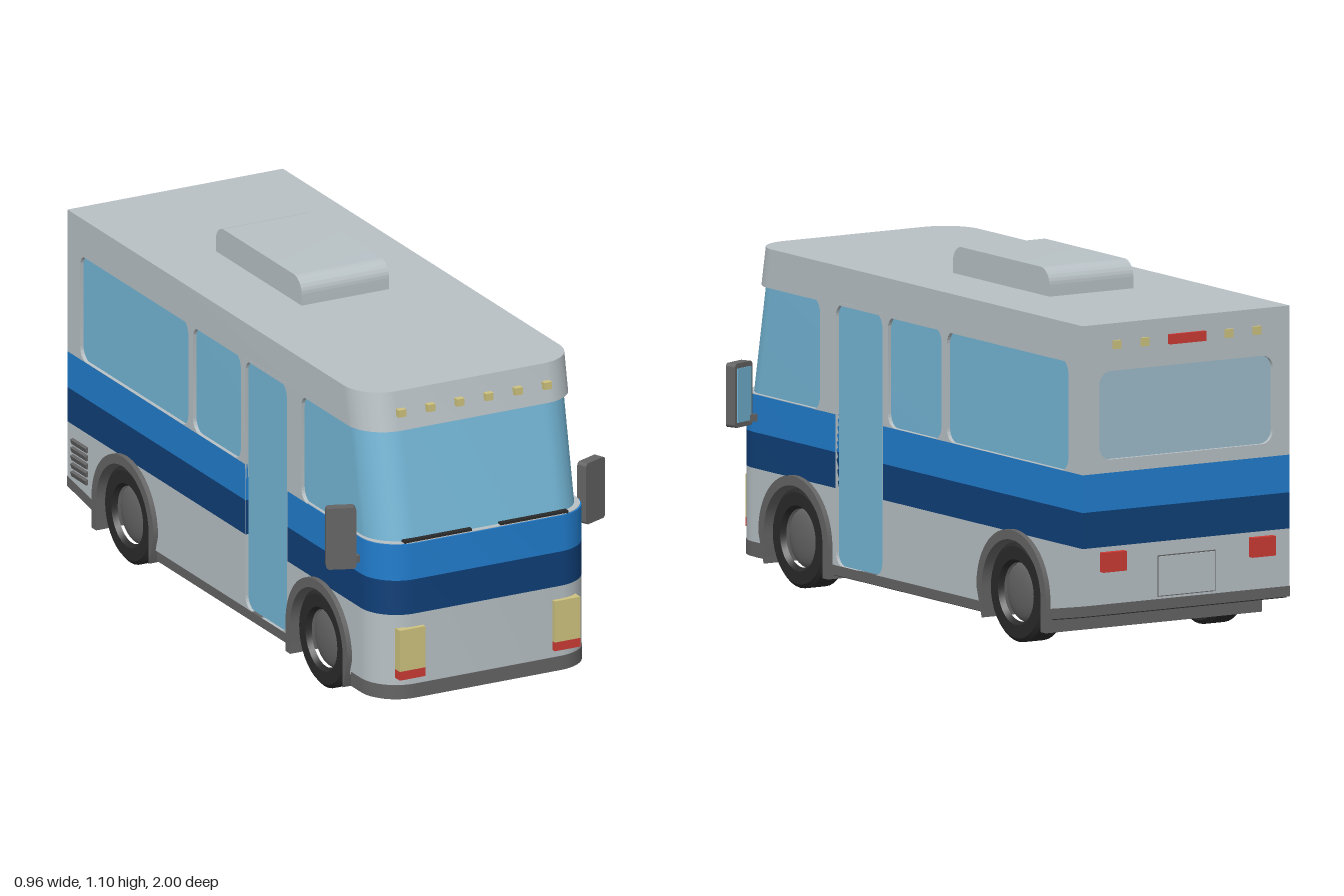
import * as THREE from 'three';
import { toCreasedNormals } from 'three/addons/utils/BufferGeometryUtils.js';

const paint = (name, color) => new THREE.MeshStandardMaterial({ name, color });

export function createModel() {
  const bus = new THREE.Group();
  bus.name = 'bus';
  const grey = paint('body grey', 0xb8c1c5), glass = paint('glass', 0x74b6d6);
  const rearGlass = paint('rear glass', 0x9cbccb), blue = paint('blue', 0x217dce);
  const navy = paint('navy', 0x0f3f78), trim = paint('trim grey', 0x646464);
  const black = paint('black', 0x2a2a2a), yellow = paint('lamp yellow', 0xcdc27e);
  const red = paint('lamp red', 0xcc3a34);

  const add = (name, geo, mat, x = 0, y = 0, z = 0) => {
    const m = new THREE.Mesh(geo, mat);
    m.name = name;
    m.position.set(x, y, z);
    bus.add(m);
    return m;
  };
  // box given by its limits
  const box = (name, mat, x0, x1, y0, y1, z0, z1) =>
    add(name, new THREE.BoxGeometry(x1 - x0, y1 - y0, z1 - z0), mat, (x0 + x1) / 2, (y0 + y1) / 2, (z0 + z1) / 2);

  // slab from a plan outline with round front corners; optional door notches and raked front
  const slab = (name, mat, hw, z0, z1, y0, y1, { notch = false, rake = 0 } = {}) => {
    const s = new THREE.Shape(), r = 0.12, n = 0.355;
    s.moveTo(-hw, -z0);
    if (notch) [[-hw, 0.14], [-n, 0.14], [-n, 0.4], [-hw, 0.4]].forEach(([x, z]) => s.lineTo(x, -z));
    s.lineTo(-hw, -z1 + r);
    s.absarc(-hw + r, -z1 + r, r, Math.PI, Math.PI * 1.5, false);
    s.absarc(hw - r, -z1 + r, r, Math.PI * 1.5, Math.PI * 2, false);
    if (notch) [[hw, 0.4], [n, 0.4], [n, 0.14], [hw, 0.14]].forEach(([x, z]) => s.lineTo(x, -z));
    s.lineTo(hw, -z0);
    s.closePath();
    const g = new THREE.ExtrudeGeometry(s, { depth: y1 - y0, bevelEnabled: false, curveSegments: 10 });
    g.rotateX(-Math.PI / 2);
    const p = g.attributes.position;
    for (let i = 0; i < p.count; i++) if (p.getZ(i) > 0) p.setZ(i, p.getZ(i) - rake * p.getY(i));
    return add(name, toCreasedNormals(g, 0.6), mat, 0, y0);
  };

  // side profile drawn in (z, y), extruded from x0 to x1
  const profile = (name, mat, shape, x0, x1) => {
    const g = new THREE.ExtrudeGeometry(shape, { depth: x1 - x0, bevelEnabled: false, curveSegments: 16 });
    g.rotateY(-Math.PI / 2);
    return add(name, toCreasedNormals(g, 0.6), mat, x1);
  };
  const poly = (pts) => new THREE.Shape(pts.map(([a, b]) => new THREE.Vector2(a, b)));
  const rounded = (a0, a1, b0, b1, r, path = new THREE.Path()) => {
    path.absarc(a1 - r, b0 + r, r, -Math.PI / 2, 0, false);
    path.absarc(a1 - r, b1 - r, r, 0, Math.PI / 2, false);
    path.absarc(a0 + r, b1 - r, r, Math.PI / 2, Math.PI, false);
    path.absarc(a0 + r, b0 + r, r, Math.PI, Math.PI * 1.5, false);
    path.closePath();
    return path;
  };
  const panel = (a0, a1, b0, b1, holes) => {
    const s = poly([[a0, b0], [a1, b0], [a1, b1], [a0, b1]]);
    s.holes = holes.map((h) => rounded(...h, 0.04));
    return s;
  };

  // lower body with wheel arches
  const axles = [0.615, -0.605];
  const archCut = (s, z, r, y) => {
    s.lineTo(z - r, y);
    s.lineTo(z - r, 0.15);
    s.absarc(z, 0.15, r, Math.PI, 0, true);
    s.lineTo(z + r, y);
  };
  const rear = new THREE.Shape();
  rear.moveTo(-0.98, 0.155);
  archCut(rear, axles[1], 0.18, 0.1);
  rear.lineTo(0.14, 0.1);
  rear.lineTo(0.14, 0.335);
  rear.lineTo(-0.98, 0.335);
  profile('rearLowerBody', grey, rear, -0.37, 0.37);
  const front = new THREE.Shape();
  front.moveTo(0.4, 0.1);
  archCut(front, axles[0], 0.18, 0.1);
  front.lineTo(0.82, 0.1);
  front.lineTo(0.82, 0.335);
  front.lineTo(0.4, 0.335);
  profile('frontLowerBody', grey, front, -0.37, 0.37);
  box('doorSillBody', grey, -0.355, 0.355, 0.1, 0.335, 0.14, 0.4);
  slab('nose', grey, 0.37, 0.815, 0.985, 0.11, 0.335);

  // painted bands and windscreen ledge
  slab('navyBand', navy, 0.37, -0.98, 0.985, 0.335, 0.445, { notch: true });
  slab('blueBand', blue, 0.37, -0.98, 0.985, 0.445, 0.56, { notch: true });
  slab('windscreenLedge', grey, 0.368, 0.42, 0.98, 0.56, 0.562);

  // glass cabin and roof
  slab('cabinGlass', glass, 0.358, -0.965, 0.962, 0.56, 0.9, { rake: 0.2 });
  slab('roof', grey, 0.37, -0.98, 0.902, 0.895, 1.015, { rake: 0.2 });

  // side walls, door frames and cab pillars
  const pillar = new THREE.Shape();
  pillar.moveTo(0.403, 0.56);
  pillar.lineTo(0.53, 0.56);
  pillar.absarc(0.53, 0.6, 0.04, -Math.PI / 2, -Math.PI, true);
  pillar.absarc(0.53, 0.86, 0.04, Math.PI, Math.PI / 2, true);
  pillar.lineTo(0.403, 0.9);
  for (const side of [1, -1]) {
    const wall = (name, mat, shape, a, b) => profile(name, mat, shape, Math.min(a * side, b * side), Math.max(a * side, b * side));
    wall('sideWall', grey, panel(-0.98, 0.137, 0.56, 0.905, [[-0.9, -0.22, 0.561, 0.9], [-0.19, 0.11, 0.561, 0.9]]), 0.35, 0.37);
    wall('doorFrame', grey, panel(0.137, 0.403, 0.097, 0.905, [[0.14, 0.4, 0.1, 0.9]]), 0.35, 0.3705);
    wall('cabPillar', grey, pillar, 0.35, 0.37);
    box('door', glass, side * 0.357 - 0.003, side * 0.357 + 0.003, 0.1, 0.9, 0.139, 0.401);
  }

  // rear wall and window
  const rearWall = new THREE.ExtrudeGeometry(panel(-0.37, 0.37, 0.56, 0.9, [[-0.31, 0.31, 0.6, 0.87]]), { depth: 0.02, bevelEnabled: false });
  add('rearWall', rearWall, grey, 0, 0, -0.98);
  box('rearWindow', rearGlass, -0.32, 0.32, 0.59, 0.88, -0.968, -0.962);

  // skirt trim and dark floor
  slab('frontSkirt', trim, 0.371, 0.805, 0.987, 0.065, 0.11);
  slab('frontFloor', black, 0.362, 0.805, 0.978, 0.062, 0.066);
  box('middleSkirt', trim, -0.371, 0.371, 0.07, 0.1, -0.415, 0.425);
  box('middleFloor', black, -0.362, 0.362, 0.066, 0.071, -0.413, 0.423);
  profile('rearSkirt', trim, poly([[-0.982, 0.128], [-0.785, 0.094], [-0.785, 0.126], [-0.982, 0.16]]), -0.371, 0.371);
  profile('rearFloor', black, poly([[-0.975, 0.124], [-0.79, 0.092], [-0.79, 0.1], [-0.975, 0.132]]), -0.362, 0.362);

  // wheel arches, axles and wheels
  const tyreProfile = [[0.09, -0.046], [0.14, -0.046], [0.152, -0.036], [0.152, 0.036], [0.14, 0.046], [0.1, 0.046], [0.09, 0.03]]
    .map(([r, h]) => new THREE.Vector2(r, h));
  for (const z of axles) {
    const arch = new THREE.Shape();
    arch.moveTo(z + 0.195, 0.055);
    arch.absarc(z, 0.15, 0.195, 0, Math.PI, false);
    arch.lineTo(z - 0.195, 0.055);
    archCut(arch, z, 0.165, 0.055);
    arch.closePath();
    profile('wheelArch', trim, arch, -0.386, 0.386);
    add('axle', new THREE.CylinderGeometry(0.035, 0.035, 0.6, 16).rotateZ(Math.PI / 2), black, 0, 0.153, z);
    for (const side of [1, -1]) {
      const tyre = toCreasedNormals(new THREE.LatheGeometry(tyreProfile, 36), 0.6).rotateZ(-side * Math.PI / 2);
      add('tyre', tyre, black, side * 0.323, 0.153, z);
      add('innerWheel', new THREE.CylinderGeometry(0.092, 0.092, 0.06, 28).rotateZ(Math.PI / 2), black, side * 0.308, 0.153, z);
      add('hub', new THREE.SphereGeometry(0.09, 28, 14).scale(0.25, 1, 1), trim, side * 0.338, 0.153, z);
    }
  }

  // roof unit
  const unit = new THREE.Shape();
  unit.moveTo(-0.45, 1.01);
  unit.lineTo(0.09, 1.01);
  unit.absarc(0.04, 1.05, 0.05, 0, Math.PI / 2, false);
  unit.absarc(-0.4, 1.05, 0.05, Math.PI / 2, Math.PI, false);
  unit.closePath();
  profile('roofUnit', grey, unit, -0.15, 0.15);

  // front and rear lamps, wipers and mirrors
  for (const s of [1, -1]) {
    const c = s * 0.266;
    box('headlight', yellow, c - 0.044, c + 0.044, 0.162, 0.294, 0.95, 1);
    box('indicator', red, c - 0.044, c + 0.044, 0.134, 0.162, 0.95, 1);
    box('tailLight', red, c - 0.042, c + 0.042, 0.26, 0.32, -1, -0.97);
    box('wiper', black, s * 0.165 - 0.116, s * 0.165 + 0.116, 0.56, 0.569, 0.958, 0.977);
    for (const x of [0.05, 0.15, 0.25]) box('roofLamp', yellow, s * x - 0.013, s * x + 0.013, 0.94, 0.963, 0.87, 0.907);
    for (const x of [0.15, 0.25]) box('rearRoofLamp', yellow, s * x - 0.013, s * x + 0.013, 0.937, 0.963, -0.99, -0.97);

    box('mirrorArm', trim, s * 0.39 - 0.035, s * 0.39 + 0.035, 0.48, 0.502, 0.84, 0.86);
    const outline = rounded(-0.046, 0.046, -0.098, 0.098, 0.012, new THREE.Shape());
    const shell = new THREE.ExtrudeGeometry(outline, { depth: 0.034, bevelEnabled: false }).translate(0, 0, -0.017);
    const mirror = add('mirror', shell, trim, s * 0.43, 0.568, 0.848);
    mirror.rotation.y = s * 0.39;
    const face = new THREE.Mesh(new THREE.BoxGeometry(0.07, 0.165, 0.004), glass);
    face.name = 'mirrorGlass';
    face.position.z = -0.018;
    mirror.add(face);
  }
  box('brakeLight', red, -0.065, 0.065, 0.935, 0.965, -0.993, -0.97);

  // rear plate with its thin border, and side vent
  box('plateBorder', trim, -0.103, 0.103, 0.167, 0.293, -0.983, -0.975);
  box('plate', grey, -0.1, 0.1, 0.17, 0.29, -0.986, -0.978);
  for (let i = 0; i < 5; i++) {
    const slat = box('ventSlat', trim, -0.378, -0.365, 0.172 + i * 0.026, 0.188 + i * 0.026, -0.945, -0.85);
    slat.rotation.z = 0.3;
  }
  return bus;
}
